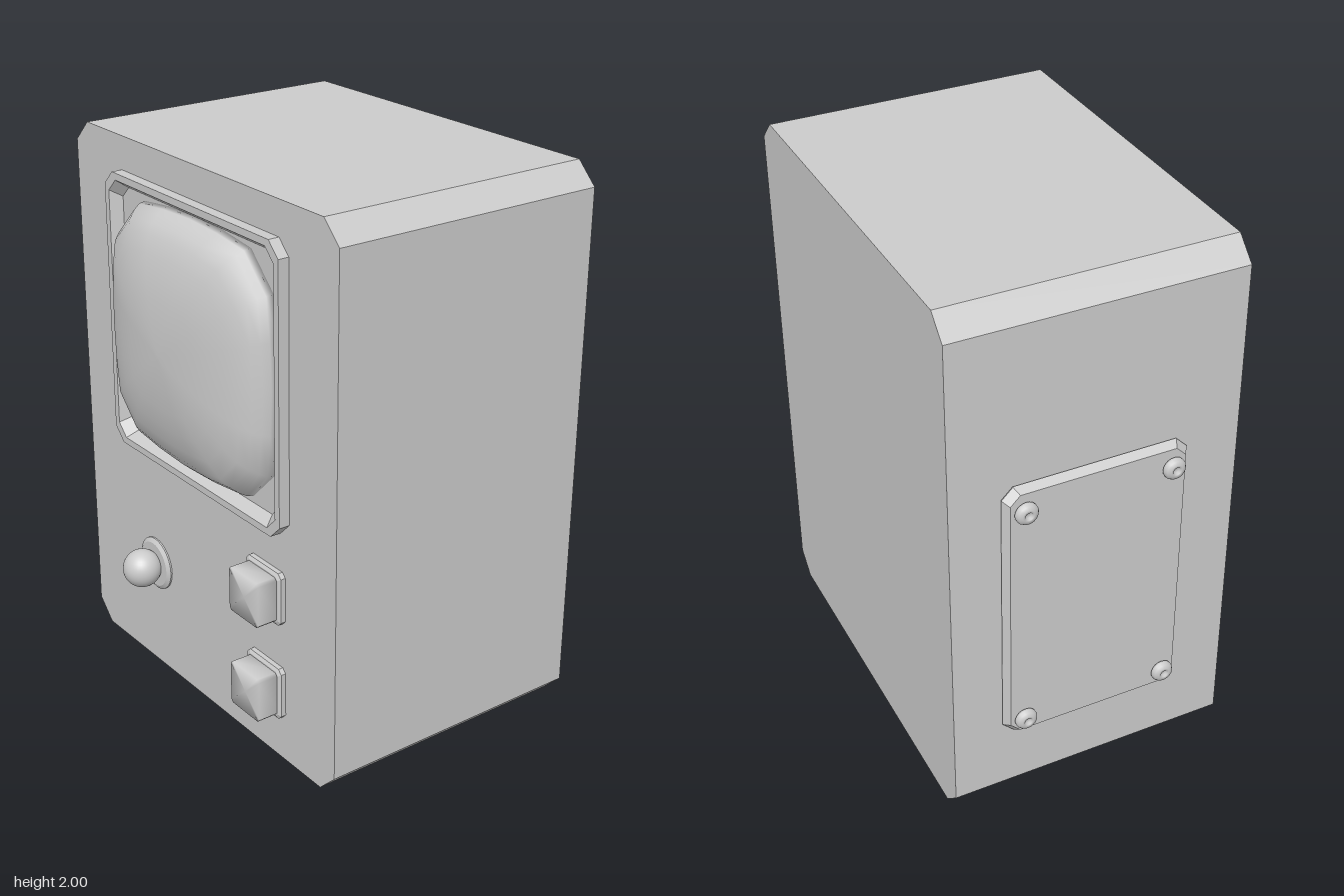
import * as THREE from 'three';

const material = new THREE.MeshStandardMaterial({ color: 0xcccccc });

// Rectangle with cut corners, counter-clockwise, as [x, y] points
function cutRect(w, h, c) {
  const x = w / 2, y = h / 2;
  return [[x, c - y], [x, y - c], [x - c, y], [c - x, y], [-x, y - c], [-x, c - y], [c - x, -y], [x - c, -y]];
}

// Skin a list of { points, z } sections, optionally capping both ends
function loft(sections, { caps = true, smooth = false } = {}) {
  const n = sections[0].points.length;
  const positions = [], index = [];
  for (const { points, z } of sections) for (const [x, y] of points) positions.push(x, y, z);
  for (let s = 0; s < sections.length - 1; s++) {
    for (let i = 0; i < n; i++) {
      const a = s * n + i, b = s * n + (i + 1) % n;
      index.push(a, b, b + n, a, b + n, a + n);
    }
  }
  if (caps) {
    const back = positions.length / 3, front = back + 1, last = (sections.length - 1) * n;
    positions.push(0, 0, sections[0].z, 0, 0, sections[sections.length - 1].z);
    for (let i = 0; i < n; i++) {
      const j = (i + 1) % n;
      index.push(back, j, i, front, last + i, last + j);
    }
  }
  let geometry = new THREE.BufferGeometry();
  geometry.setAttribute('position', new THREE.Float32BufferAttribute(positions, 3));
  geometry.setIndex(index);
  if (!smooth) geometry = geometry.toNonIndexed();
  geometry.computeVertexNormals();
  return geometry;
}

function add(parent, name, geometry, x = 0, y = 0, z = 0) {
  const mesh = new THREE.Mesh(geometry, material);
  mesh.name = name;
  mesh.position.set(x, y, z);
  parent.add(mesh);
  return mesh;
}

// Lathe whose axis points along +z; profile is [radius, height] pairs
function turned(profile, segments = 24) {
  const points = profile.map(([r, h]) => new THREE.Vector2(r, h));
  return new THREE.LatheGeometry(points, segments).rotateX(Math.PI / 2);
}

export function createModel() {
  const model = new THREE.Group();
  model.name = 'monitorCabinet';
  const cx = 0.033, face = 0.435;

  // Cabinet with chamfered long edges
  const outline = cutRect(1.506, 2, 0.076);
  add(model, 'cabinet', loft([{ points: outline, z: -0.6 }, { points: outline, z: face }]), cx, 1, 0);

  // Raised bezel with a sloping inner lip
  const bezel = [
    { points: cutRect(1.01, 1.01, 0.05), z: 0 },
    { points: cutRect(1.01, 1.01, 0.05), z: 0.04 },
    { points: cutRect(0.96, 0.96, 0.045), z: 0.04 },
    { points: cutRect(0.905, 0.905, 0.04), z: 0.001 },
  ];
  add(model, 'screenBezel', loft(bezel, { caps: false }), cx, 1.375, face);

  // Bulging glass screen: one outline shrunk along a dome profile
  const quarter = [[0.453, 0], [0.446, 0.16], [0.428, 0.31], [0.31, 0.428], [0.16, 0.446]];
  const rim = [];
  for (let k = 0; k < 4; k++) {
    for (const [x, y] of quarter) rim.push([[x, y], [-y, x], [-x, -y], [y, -x]][k]);
  }
  const dome = [[1, 0.436], [0.99, 0.462], [0.96, 0.486], [0.91, 0.512], [0.84, 0.536], [0.72, 0.557],
    [0.58, 0.575], [0.42, 0.588], [0.24, 0.596], [0.1, 0.599]];
  const rings = dome.map(([t, z]) => ({ points: rim.map(([x, y]) => [x * t, y * t]), z }));
  rings.push({ points: rim.map(([x, y]) => [x * 0.02, y * 0.02]), z: 0.6 });
  add(model, 'screen', loft(rings, { smooth: true }), cx, 1.378, 0);

  // Round knob on a low collar
  const knob = new THREE.Group();
  knob.name = 'knob';
  knob.position.set(-0.285, 0.42, face);
  model.add(knob);
  add(knob, 'knobCollar', turned([[0.1, 0], [0.1, 0.006], [0.1, 0.006], [0.085, 0.016], [0.085, 0.016], [0, 0.016]], 32));
  add(knob, 'knobBall', new THREE.SphereGeometry(0.071, 32, 20), 0, 0, 0.066);

  // Two square push buttons on bevelled bases
  for (const y of [0.632, 0.265]) {
    const button = new THREE.Group();
    button.name = 'button';
    button.position.set(0.416, y, face);
    model.add(button);
    add(button, 'buttonBase', loft([
      { points: cutRect(0.197, 0.197, 0.016), z: 0 },
      { points: cutRect(0.197, 0.197, 0.016), z: 0.018 },
      { points: cutRect(0.176, 0.176, 0.012), z: 0.025 },
    ]));
    add(button, 'buttonCap', loft([
      { points: cutRect(0.166, 0.166, 0.01), z: 0.01 },
      { points: cutRect(0.166, 0.166, 0.01), z: 0.099 },
    ], { smooth: true }));
  }

  // Service panel standing just off the right side, held by four screws
  const panel = new THREE.Group();
  panel.name = 'sidePanel';
  panel.position.set(-0.72, 0.836, -0.093);
  panel.rotation.y = -Math.PI / 2;
  model.add(panel);
  add(panel, 'panelPlate', loft([
    { points: cutRect(0.66, 1.035, 0.04), z: 0.006 },
    { points: cutRect(0.66, 1.035, 0.04), z: 0.009 },
    { points: cutRect(0.625, 1, 0.035), z: 0.036 },
  ]));
  const screw = turned([[0.018, -0.01], [0.018, 0.04], [0.034, 0.04], [0.04, 0.046], [0.04, 0.054],
    [0.034, 0.064], [0.022, 0.07], [0.014, 0.07], [0.01, 0.062], [0, 0.062]], 20);
  for (const x of [-0.263, 0.263]) {
    for (const y of [-0.44, 0.436]) add(panel, 'panelScrew', screw, x, y, 0);
  }

  return model;
}
